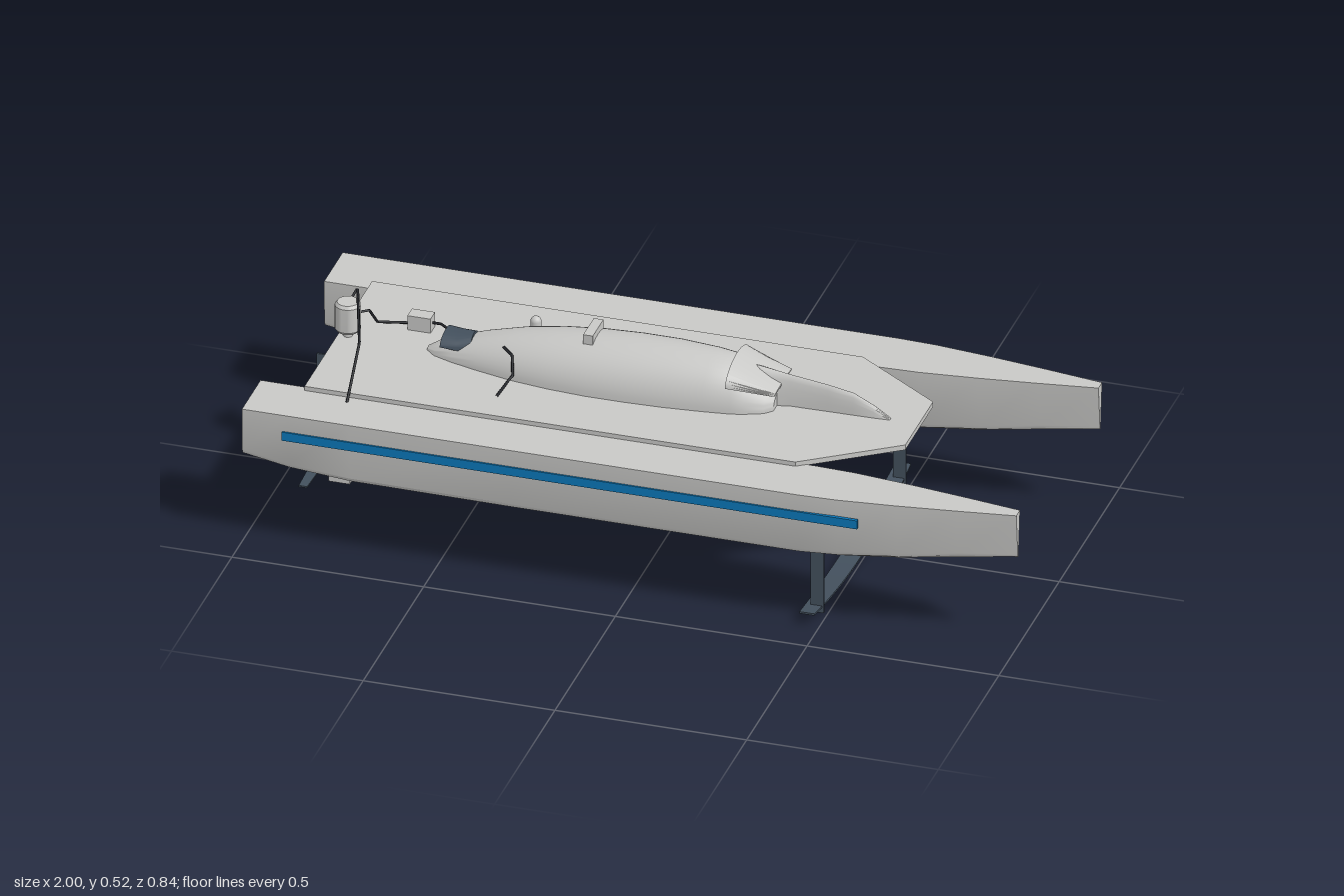
import * as THREE from 'three';
import { toCreasedNormals } from 'three/addons/utils/BufferGeometryUtils.js';

const mat = (name, color) => {
  const m = new THREE.MeshStandardMaterial({ color });
  m.name = name;
  return m;
};

// Skin a list of closed rings running along +x, with capped ends
function loft(rings, crease = 0.5) {
  const n = rings[0].length, pos = rings.flat(2), idx = [];
  for (let i = 0; i < rings.length - 1; i++)
    for (let j = 0; j < n; j++) {
      const a = i * n + j, b = i * n + (j + 1) % n;
      idx.push(a, b, a + n, b, b + n, a + n);
    }
  const last = (rings.length - 1) * n;
  for (let j = 1; j < n - 1; j++) {
    idx.push(0, j + 1, j);
    idx.push(last, last + j, last + j + 1);
  }
  const g = new THREE.BufferGeometry();
  g.setAttribute('position', new THREE.Float32BufferAttribute(pos, 3));
  g.setIndex(idx);
  return toCreasedNormals(g, crease);
}

// Half-ellipse ring standing on a flat base
function archRing(x, w, h, base, n = 24) {
  return Array.from({ length: n + 1 }, (_, i) => {
    const t = -Math.PI / 2 + Math.PI * i / n;
    return [x, base + h * Math.cos(t), w * Math.sin(t)];
  });
}

export function createModel() {
  const model = new THREE.Group();
  const hullGrey = mat('hull grey', 0xc8c8c6);
  const slate = mat('dark slate', 0x43505d);
  const blue = mat('stripe blue', 0x0b78ba);
  const black = mat('cable black', 0x24262b);

  const add = (name, geo, material, x = 0, y = 0, z = 0) => {
    const m = new THREE.Mesh(geo, material);
    m.name = name;
    m.position.set(x, y, z);
    model.add(m);
    return m;
  };
  const box = (name, material, sx, sy, sz, x, y, z) =>
    add(name, new THREE.BoxGeometry(sx, sy, sz), material, x, y, z);

  // Hull stations: x, deck half width, chine half width, chine height, keel height
  const stations = [
    [-1, 0.077, 0.075, 0.262, 0.235], [-0.88, 0.077, 0.075, 0.24, 0.215], [-0.72, 0.077, 0.075, 0.226, 0.203],
    [-0.3, 0.077, 0.075, 0.224, 0.2], [0.45, 0.077, 0.075, 0.224, 0.2], [0.55, 0.073, 0.069, 0.228, 0.203],
    [0.7, 0.057, 0.048, 0.238, 0.214], [0.85, 0.037, 0.025, 0.252, 0.233], [1, 0.015, 0.003, 0.262, 0.253],
  ];
  const hullGeo = loft(stations.map(([x, w, c, cy, k]) => {
    const side = [[w, 0.378], [c, cy], [c * 0.92, cy - (cy - k) * 0.45], [c * 0.7, cy - (cy - k) * 0.8]];
    return [
      ...side.map(([z, y]) => [x, y, z]), [x, k, 0],
      ...side.reverse().map(([z, y]) => [x, y, -z]),
    ];
  }));

  // Paired hulls, stripes and front struts
  for (const s of [1, -1]) {
    const side = s > 0 ? 'left' : 'right';
    add(side + 'Hull', hullGeo, hullGrey, 0, 0, 0.34 * s);
    box(side + 'Stripe', blue, 1.5, 0.024, 0.009, -0.145, 0.32, 0.4165 * s);
    box(side + 'FrontStrut', slate, 0.034, 0.22, 0.005, 0.477, 0.118, 0.34 * s);
  }

  // Deck platform with cut front corners
  const deck = new THREE.Shape();
  [[-0.88, -0.28], [0.4, -0.28], [0.635, -0.115], [0.635, 0.115], [0.4, 0.28], [-0.88, 0.28]]
    .forEach(([x, z], i) => (i ? deck.lineTo(x, z) : deck.moveTo(x, z)));
  add('deckPlatform', new THREE.ExtrudeGeometry(deck, { depth: 0.014, bevelEnabled: false })
    .rotateX(-Math.PI / 2), hullGrey, 0, 0.376, 0);

  // Streamlined cabin: x, half width, height
  const base = 0.388;
  add('cabin', loft([
    [-0.645, 0.012, 0.008], [-0.62, 0.035, 0.022], [-0.57, 0.054, 0.043], [-0.5, 0.074, 0.066], [-0.4, 0.098, 0.09],
    [-0.3, 0.112, 0.106], [-0.2, 0.119, 0.116], [-0.1, 0.119, 0.121], [0, 0.115, 0.122], [0.1, 0.106, 0.117],
    [0.17, 0.097, 0.108], [0.2, 0.09, 0.088], [0.25, 0.07, 0.055], [0.27, 0.05, 0.04],
  ].map(([x, w, h]) => archRing(x, w, h, base)), 0.8), hullGrey);

  // Sloping visor over the cabin front
  add('visor', loft([archRing(0.16, 0.1, 0.05, 0.462), archRing(0.28, 0.075, 0.006, 0.445)]), hullGrey);

  // Thin nose blade running down to the deck
  add('noseBlade', loft([
    [0.16, 0.022, 0.106], [0.2, 0.03, 0.1], [0.25, 0.026, 0.093], [0.3, 0.013, 0.085],
    [0.4, 0.011, 0.072], [0.465, 0.01, 0.06], [0.52, 0.009, 0.032], [0.56, 0.007, 0.004],
  ].map(([x, w, h]) => archRing(x, w, h, base, 10)), 0.8), hullGrey);

  // Dark cowl on the cabin tail
  add('tailCowl', loft([archRing(-0.6, 0.05, 0.026, 0.425), archRing(-0.56, 0.046, 0.03, 0.42),
    archRing(-0.525, 0.036, 0.034, 0.42)]), slate);

  // Deck fittings
  box('roofBlock', hullGrey, 0.025, 0.026, 0.088, -0.215, 0.508, 0);
  box('junctionBox', hullGrey, 0.06, 0.04, 0.038, -0.692, 0.41, -0.09);
  box('keelSensor', hullGrey, 0.055, 0.045, 0.034, -0.765, 0.198, 0.34);
  add('ventPost', new THREE.CapsuleGeometry(0.014, 0.04, 6, 16), hullGrey, -0.393, 0.44, -0.09);
  const can = [[0, 0], [0.027, 0], [0.033, 0.008], [0.033, 0.074], [0.027, 0.082], [0, 0.082]]
    .map(p => new THREE.Vector2(...p));
  add('motorCan', toCreasedNormals(new THREE.LatheGeometry(can, 24), 0.6), hullGrey, -0.855, 0.405, 0);
  add('motorPost', new THREE.CylinderGeometry(0.012, 0.012, 0.025, 12), hullGrey, -0.855, 0.397, 0);

  // Cables and hoses with straight runs
  const cable = (name, pts, r = 0.0035) => {
    const v = pts.map(p => new THREE.Vector3(...p)), path = new THREE.CurvePath();
    for (let i = 1; i < v.length; i++) path.add(new THREE.LineCurve3(v[i - 1], v[i]));
    add(name, new THREE.TubeGeometry(path, 40, r, 6), black);
  };
  cable('hullHose', [[-0.855, 0.48, -0.02], [-0.85, 0.491, -0.065], [-0.762, 0.491, 0.2], [-0.762, 0.38, 0.3], [-0.762, 0.34, 0.34]]);
  cable('motorCable', [[-0.83, 0.45, -0.02], [-0.81, 0.45, -0.035], [-0.8, 0.4, -0.07], [-0.72, 0.4, -0.09]]);
  cable('cabinCable', [[-0.665, 0.41, -0.09], [-0.64, 0.41, -0.09], [-0.58, 0.42, -0.03]]);
  cable('sideHose', [[-0.43, 0.46, 0.06], [-0.4, 0.455, 0.085], [-0.392, 0.41, 0.105], [-0.4, 0.4, 0.12], [-0.408, 0.392, 0.19]]);

  // Front foil curving up to its tips
  const foil = new THREE.BoxGeometry(0.052, 0.005, 0.8, 1, 1, 28), p = foil.attributes.position;
  for (let i = 0; i < p.count; i++) {
    const t = Math.abs(p.getZ(i)) / 0.4;
    p.setX(i, p.getX(i) * (1 - 0.25 * t * t));
    p.setY(i, p.getY(i) + 0.031 * t * t);
  }
  foil.computeVertexNormals();
  add('frontFoil', foil, slate, 0.468, 0.0025, 0);

  // Rear strut, bulb and tail foil
  box('rearStrut', slate, 0.042, 0.295, 0.005, -0.915, 0.178, 0);
  add('rearBulb', new THREE.SphereGeometry(1, 24, 16).scale(0.062, 0.0145, 0.0145), slate, -0.892, 0.032, 0);
  const tail = new THREE.BoxGeometry(0.034, 0.004, 0.32, 1, 1, 2), q = tail.attributes.position;
  for (let i = 0; i < q.count; i++)
    if (Math.abs(q.getZ(i)) > 0.1) q.setX(i, q.getX(i) * 0.65);
  add('rearFoil', tail, slate, -0.922, 0.032, 0);

  return model;
}
